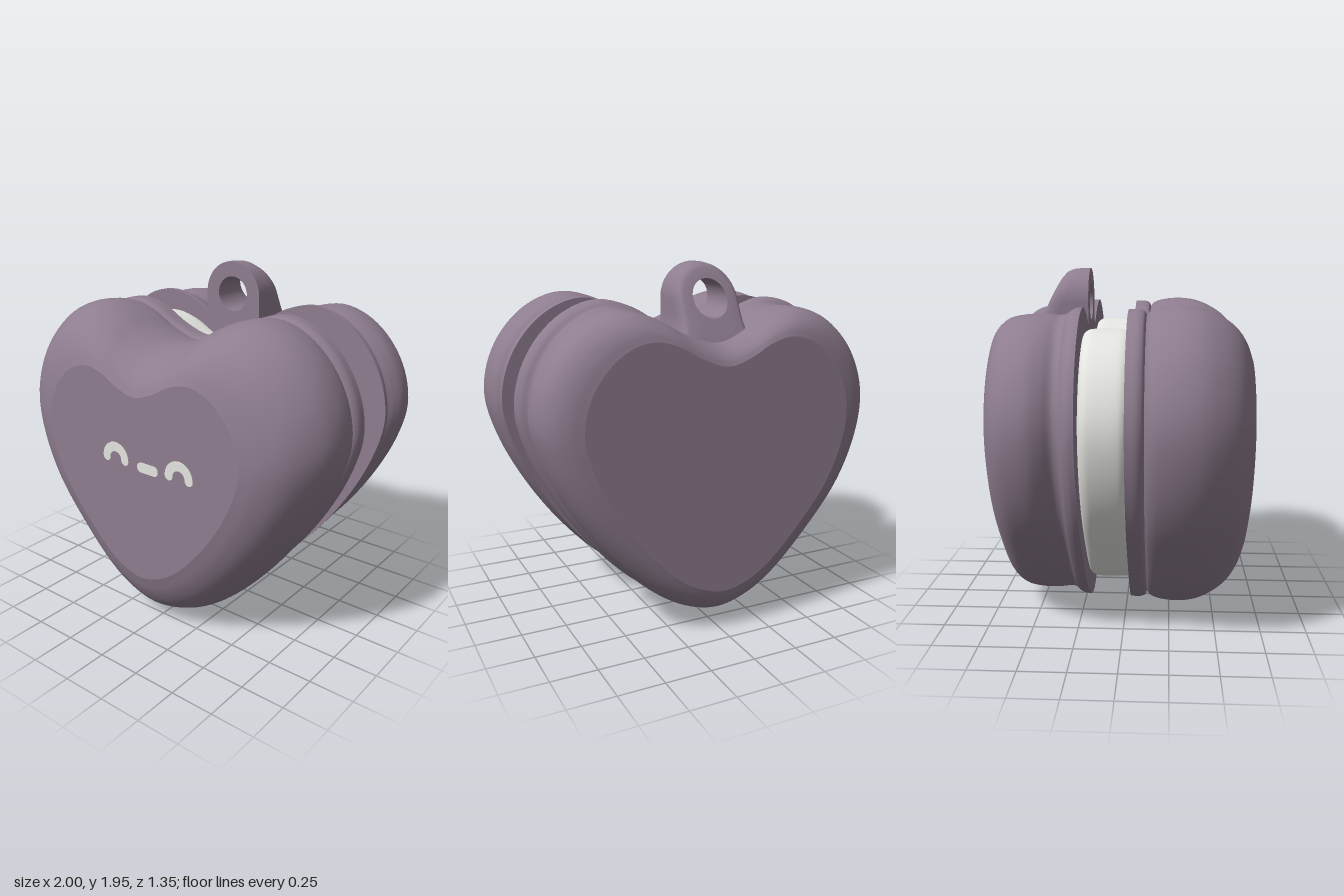
import * as THREE from 'three';
import { mergeGeometries } from 'three/addons/utils/BufferGeometryUtils.js';

const SEG = 144;
const CENTRE_Y = 0.95;

// Heart outline, anticlockwise from the bottom tip
const heart = new THREE.CatmullRomCurve3([
  [-0.02, 0], [0.16, 0.04], [0.35, 0.155], [0.6, 0.41], [0.81, 0.71], [0.95, 1.0], [1.0, 1.22], [0.96, 1.43],
  [0.85, 1.61], [0.7, 1.73], [0.53, 1.78], [0.35, 1.74], [0.17, 1.645], [-0.02, 1.59], [-0.19, 1.64],
  [-0.34, 1.72], [-0.5, 1.76], [-0.69, 1.715], [-0.87, 1.56], [-0.97, 1.37], [-1.0, 1.19], [-0.96, 0.95],
  [-0.84, 0.68], [-0.63, 0.41], [-0.37, 0.15], [-0.2, 0.045],
].map(([x, y]) => new THREE.Vector3(x, y, 0)), true, 'centripetal').getSpacedPoints(SEG).slice(0, SEG);

// Skin of quads through closed rings; each section is smooth, joints between sections are sharp
function loft(sections) {
  return mergeGeometries(sections.map((rings) => {
    const n = rings[0].length;
    const index = [];
    for (let i = 0; i < rings.length - 1; i++) {
      for (let j = 0; j < n; j++) {
        const a = i * n + j, b = i * n + (j + 1) % n;
        index.push(a, b, b + n, a, b + n, a + n);
      }
    }
    const g = new THREE.BufferGeometry().setFromPoints(rings.flat());
    g.setIndex(index);
    g.computeVertexNormals();
    return g;
  }));
}

// Heart ring at depth z, scaled about the heart's centre
const ring = (z, sx, sy, cy = CENTRE_Y) =>
  heart.map((p) => new THREE.Vector3(p.x * sx, cy + (p.y - CENTRE_Y) * sy, z));

// Solid heart from smooth profiles of [z, x scale, y scale], back to front, with flat ends
function heartSolid(profiles, cy) {
  const sections = profiles.map((rows) =>
    new THREE.CatmullRomCurve3(rows.map((r) => new THREE.Vector3(...r)), false, 'centripetal')
      .getPoints(rows.length * 5).map((v) => ring(v.x, v.y, v.z, cy)));
  const first = profiles[0][0], last = profiles.at(-1).at(-1);
  sections.unshift([ring(first[0], 0, 0, cy), ring(first[0], first[1], first[2], cy)]);
  sections.push([ring(last[0], last[1], last[2], cy), ring(last[0], 0, 0, cy)]);
  return loft(sections);
}

// Hanging tab with a round hole and a sloping back
function tabGeometry() {
  const cx = -0.035, cy = 1.77, R = 0.185, hole = 0.1, front = -0.205, n = 96;
  const backZ = (y) => -0.33 - (R - y) * 0.5;
  const make = (radius, scale, depth) => Array.from({ length: n }, (_, i) => {
    const a = (i / n) * Math.PI * 2, c = Math.cos(a), s = Math.sin(a);
    let r = radius;
    if (!r) r = s >= 0 ? R : Math.min(R / Math.max(Math.abs(c), 1e-6), 0.32 / Math.abs(s));
    let x = c * r * scale;
    const y = s * r * scale;
    if (!radius && y < -0.08) x *= 1 + 8 * (y + 0.08) ** 2; // flared foot
    return new THREE.Vector3(cx + x, cy + y, depth(y));
  });
  const flat = () => front;
  const holeBack = make(hole, 1, backZ), holeFront = make(hole, 1, flat);
  const outerFront = make(0, 1, flat);
  return loft([
    [holeBack, make(0, 0.8, backZ), make(0, 0.9, (y) => backZ(y) + 0.01),
      make(0, 0.97, (y) => backZ(y) + 0.035), make(0, 1, (y) => backZ(y) + 0.08), outerFront],
    [outerFront, holeFront],
    [holeFront, holeBack],
  ]);
}

// Round-ended stroke bent into an arch
function archShape(r, half) {
  const s = new THREE.Shape();
  s.absarc(0, 0, r + half, 0, Math.PI, false);
  s.absarc(-r, 0, half, Math.PI, Math.PI * 2, false);
  s.absarc(0, 0, r - half, Math.PI, 0, true);
  s.absarc(r, 0, half, Math.PI, Math.PI * 2, false);
  return s;
}

// Round-ended bar
function barShape(length, half) {
  const s = new THREE.Shape(), x = length / 2 - half;
  s.absarc(x, 0, half, -Math.PI / 2, Math.PI / 2, false);
  s.absarc(-x, 0, half, Math.PI / 2, Math.PI * 1.5, false);
  return s;
}

export function createModel() {
  const group = new THREE.Group();
  const mauve = new THREE.MeshStandardMaterial({ color: 0x8e7d8f });
  mauve.name = 'dusty mauve';
  const white = new THREE.MeshStandardMaterial({ color: 0xe4e4e0 });
  white.name = 'soft white';
  const add = (name, geometry, material, x = 0, y = 0, z = 0) => {
    const mesh = new THREE.Mesh(geometry, material);
    mesh.name = name;
    mesh.position.set(x, y, z);
    group.add(mesh);
  };

  // Front half: flange, groove, then a domed shell ending in a flat face
  add('frontShell', heartSolid([
    [[0.03, 0.973, 0.977], [0.085, 0.973, 0.977], [0.11, 0.96, 0.967], [0.122, 0.94, 0.94]],
    [[0.122, 0.94, 0.94], [0.14, 0.962, 0.965], [0.18, 0.985, 0.985], [0.29, 1, 1], [0.4, 0.985, 0.985],
      [0.5, 0.935, 0.935], [0.58, 0.865, 0.865], [0.64, 0.765, 0.765], [0.675, 0.66, 0.66]],
  ]), mauve);

  // Back half: flat rear face, shell, soft groove and flange
  add('backShell', heartSolid([
    [[-0.675, 0.76, 0.765], [-0.655, 0.83, 0.825], [-0.62, 0.89, 0.875], [-0.57, 0.932, 0.913],
      [-0.5, 0.955, 0.93], [-0.43, 0.96, 0.935], [-0.37, 0.94, 0.932], [-0.32, 0.913, 0.927],
      [-0.29, 0.92, 0.935], [-0.265, 0.95, 0.957], [-0.235, 0.967, 0.973], [-0.205, 0.97, 0.975]],
  ], 0.96), mauve);

  // Pale core between the halves
  add('core', heartSolid([
    [[-0.208, 0.82, 0.815], [-0.195, 0.843, 0.833], [-0.17, 0.86, 0.847], [-0.14, 0.865, 0.85],
      [-0.03, 0.865, 0.85], [0.005, 0.86, 0.847], [0.032, 0.845, 0.84]],
  ]), white);

  add('hangingTab', tabGeometry(), mauve);

  // Face
  const plate = (shape) => new THREE.ExtrudeGeometry(shape, { depth: 0.008, bevelEnabled: false, curveSegments: 16 });
  for (const [name, x] of [['rightEye', -0.15], ['leftEye', 0.29]]) {
    add(name, plate(archShape(0.066, 0.026)), white, x, 1.005, 0.671);
  }
  add('mouth', plate(barShape(0.145, 0.028)), white, 0.077, 0.998, 0.671);

  return group;
}
